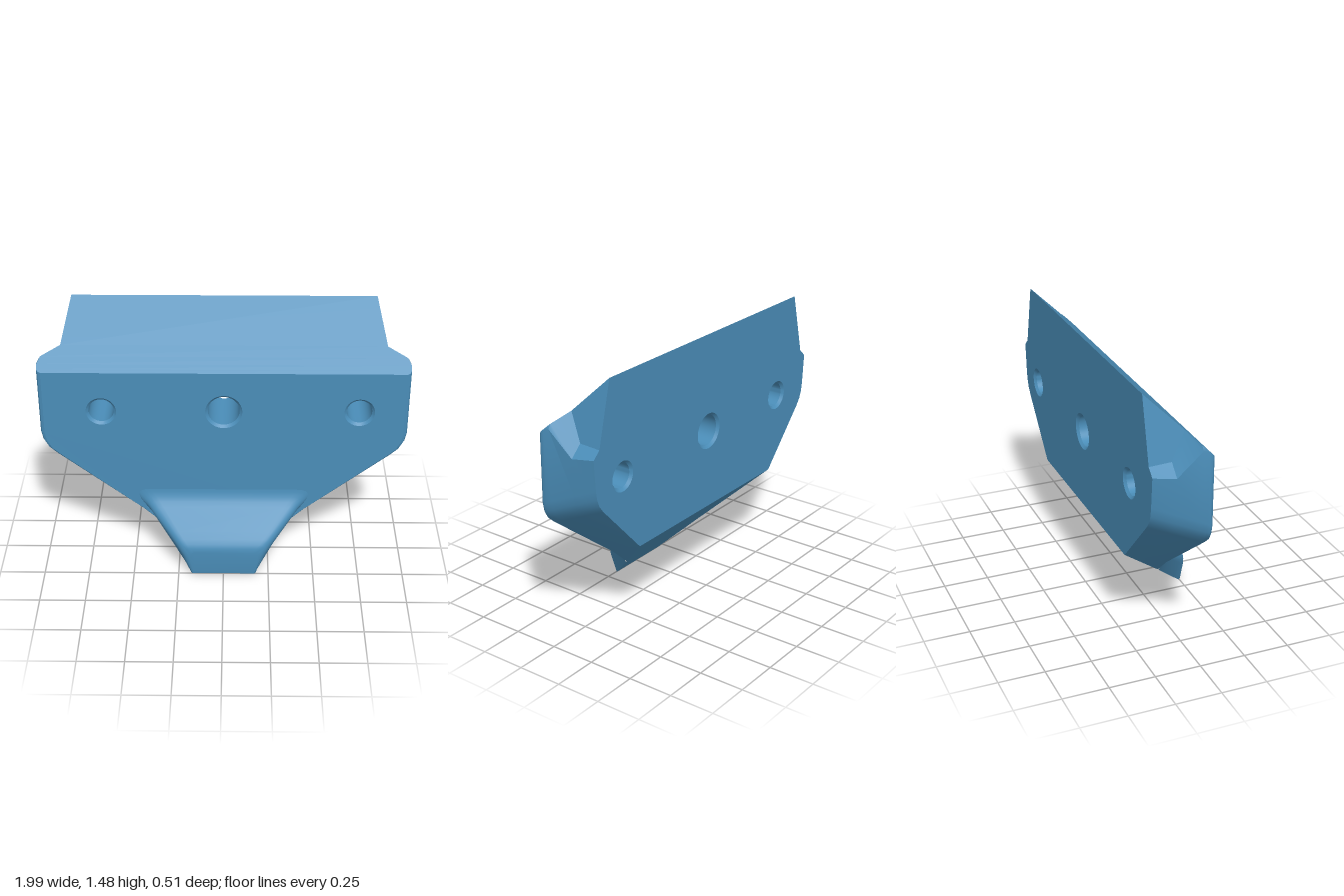
import * as THREE from 'three';
import { toCreasedNormals } from 'three/addons/utils/BufferGeometryUtils.js';

const FRONT = 0.055, BACK = -0.255;
const HOLES = [[-0.66, 0.068], [0, 0.086], [0.73, 0.068]];
const HOLE_Y = 0.935, CHAMFER = 0.014;

const V = (x, y, z) => new THREE.Vector3(x, y, z);
const flip = (p) => V(-p.x, p.y, p.z);

// Collects polygons (as triangle fans) into one soup of triangles
function collector() {
  const pos = [];
  const poly = (...pts) => {
    for (let i = 1; i < pts.length - 1; i++) {
      for (const p of [pts[0], pts[i], pts[i + 1]]) pos.push(p.x, p.y, p.z);
    }
  };
  const mirrored = (...pts) => {
    poly(...pts);
    poly(...pts.map(flip).reverse());
  };
  // skin between rings that run clockwise (seen from the front), front to back
  const loft = (rings) => {
    for (let j = 0; j < rings.length - 1; j++) {
      const a = rings[j], b = rings[j + 1];
      for (let i = 0; i < a.length - 1; i++) poly(a[i], a[i + 1], b[i + 1], b[i]);
    }
  };
  const geometry = (crease) => {
    const g = new THREE.BufferGeometry();
    g.setAttribute('position', new THREE.Float32BufferAttribute(pos, 3));
    return toCreasedNormals(g, crease);
  };
  return { poly, mirrored, loft, geometry };
}

// Flat plate outline pierced by the bolt holes
function plate(points, z, faceBack) {
  const shape = new THREE.Shape(points.map((p) => new THREE.Vector2(p.x, p.y)));
  for (const [x, r] of HOLES) {
    shape.holes.push(new THREE.Path().absarc(x, HOLE_Y, r + CHAMFER, 0, Math.PI * 2, true));
  }
  const g = new THREE.ShapeGeometry(shape, 24);
  if (faceBack) {
    const idx = g.index.array;
    for (let i = 0; i < idx.length; i += 3) [idx[i], idx[i + 1]] = [idx[i + 1], idx[i]];
    g.computeVertexNormals();
  }
  return g.translate(0, 0, z);
}

// Half outline of the body, from the bottom edge up to the top of the side
const frontHalf = [[0.33, 0.19], [0.45, 0.3], [0.92, 0.665], [0.965, 0.705], [0.99, 0.75], [1, 0.8], [1, 1.17]];
const backHalf = [[0.6, 0.495], [0.615, 0.51], [0.885, 0.8], [0.915, 0.84], [0.93, 0.88], [0.938, 0.93], [0.95, 1.095]];

function bodyHalf(z, top, inset) {
  const t = (FRONT - z) / (FRONT - BACK);
  return frontHalf.map(([x, y], i) => {
    const [bx, by] = backHalf[i];
    const last = i === frontHalf.length - 1;
    return V((x + (bx - x) * t) * (1 - inset), last ? top : y + (by - y) * t, z);
  });
}

// Clockwise ring: right top, down, across the bottom, left top
const fullRing = (half) => [...half].reverse().concat(half.map(flip));

// Nose cross-section with rounded upper corners
function noseRing([z, bottom, top, wBottom, wTop]) {
  const low = V(wBottom, bottom, z), corner = V(wTop, top, z);
  const curve = new THREE.QuadraticBezierCurve3(
    corner.clone().lerp(low, 0.35), corner, V(wTop * 0.8, top, z));
  const half = [low, ...curve.getPoints(6)];
  const ring = fullRing(half);
  ring.push(ring[0]);
  return ring;
}

export function createModel() {
  const group = new THREE.Group();
  const material = new THREE.MeshStandardMaterial({ color: 0x4a8db8 });
  const holeMaterial = new THREE.MeshStandardMaterial({ color: 0x4a8db8, side: THREE.DoubleSide });
  const add = (name, geometry, mat = material) => {
    const mesh = new THREE.Mesh(geometry, mat);
    mesh.name = name;
    group.add(mesh);
  };

  // Sides and sloped underside, with a rounded front rim: z, top of side, inset
  const halves = [
    [FRONT, 1.17, 0.028], [0.05, 1.175, 0.013], [0.04, 1.185, 0.004], [0.02, 1.205, 0],
    [-0.01, 1.21, 0], [-0.135, 1.08, 0], [BACK, 1.095, 0],
  ].map(([z, top, inset]) => bodyHalf(z, top, inset));
  const shell = collector();
  shell.loft(halves.map(fullRing));

  // Sloped top and the notches cut in its two back corners
  const tops = halves.map((h) => h[h.length - 1]);
  const [F, G, H] = tops.slice(4);
  const A = V(0.82, 1.478, BACK), B = V(0.87, 1.28, -0.055), C = V(0.905, 1.14, -0.135);
  const D = V(0.905, 1.135, BACK), E = V(0.975, 1.235, -0.01);
  const topEdge = [...tops.slice(0, 4), E, B, A];
  for (let i = 0; i < topEdge.length - 1; i++) {
    const a = topEdge[i], b = topEdge[i + 1];
    shell.poly(flip(a), a, b, flip(b));
  }
  shell.mirrored(tops[3], F, E);
  shell.mirrored(B, C, D, A);
  shell.mirrored(E, F, G, C, B);
  shell.mirrored(C, G, H, D);
  add('bodyShell', shell.geometry(0.55));

  // Front and back faces
  add('frontFace', plate(fullRing(halves[0]), FRONT, false));
  const backOutline = [...halves[halves.length - 1], D, A];
  add('backFace', plate(fullRing(backOutline), BACK, true));

  // Nose that flares into the front face: z, bottom y, top y, half widths
  const rings = [
    [0.26, 0.022, 0.15, 0.165, 0.2], [0.257, 0.007, 0.175, 0.172, 0.225],
    [0.247, 0.001, 0.195, 0.178, 0.25], [0.23, 0.015, 0.217, 0.188, 0.275],
    [0.2, 0.045, 0.248, 0.213, 0.31], [0.1, 0.145, 0.345, 0.295, 0.42],
    [0.08, 0.165, 0.367, 0.311, 0.442], [0.065, 0.18, 0.393, 0.323, 0.468],
    [0.057, 0.188, 0.42, 0.33, 0.495], [0.054, 0.191, 0.445, 0.332, 0.515],
  ].map(noseRing);
  const nose = collector();
  nose.loft(rings);
  nose.poly(...rings[0].slice(0, -1).reverse());
  add('nose', nose.geometry(0.6));

  // Chamfered bolt holes
  for (const [x, r] of HOLES) {
    const profile = [
      [r + CHAMFER, BACK], [r, BACK + CHAMFER], [r, FRONT - CHAMFER], [r + CHAMFER, FRONT],
    ].map(([px, py]) => new THREE.Vector2(px, py));
    const wall = toCreasedNormals(new THREE.LatheGeometry(profile, 48).rotateX(Math.PI / 2), 0.5);
    add('boltHole', wall.translate(x, HOLE_Y, 0), holeMaterial);
  }
  return group;
}
